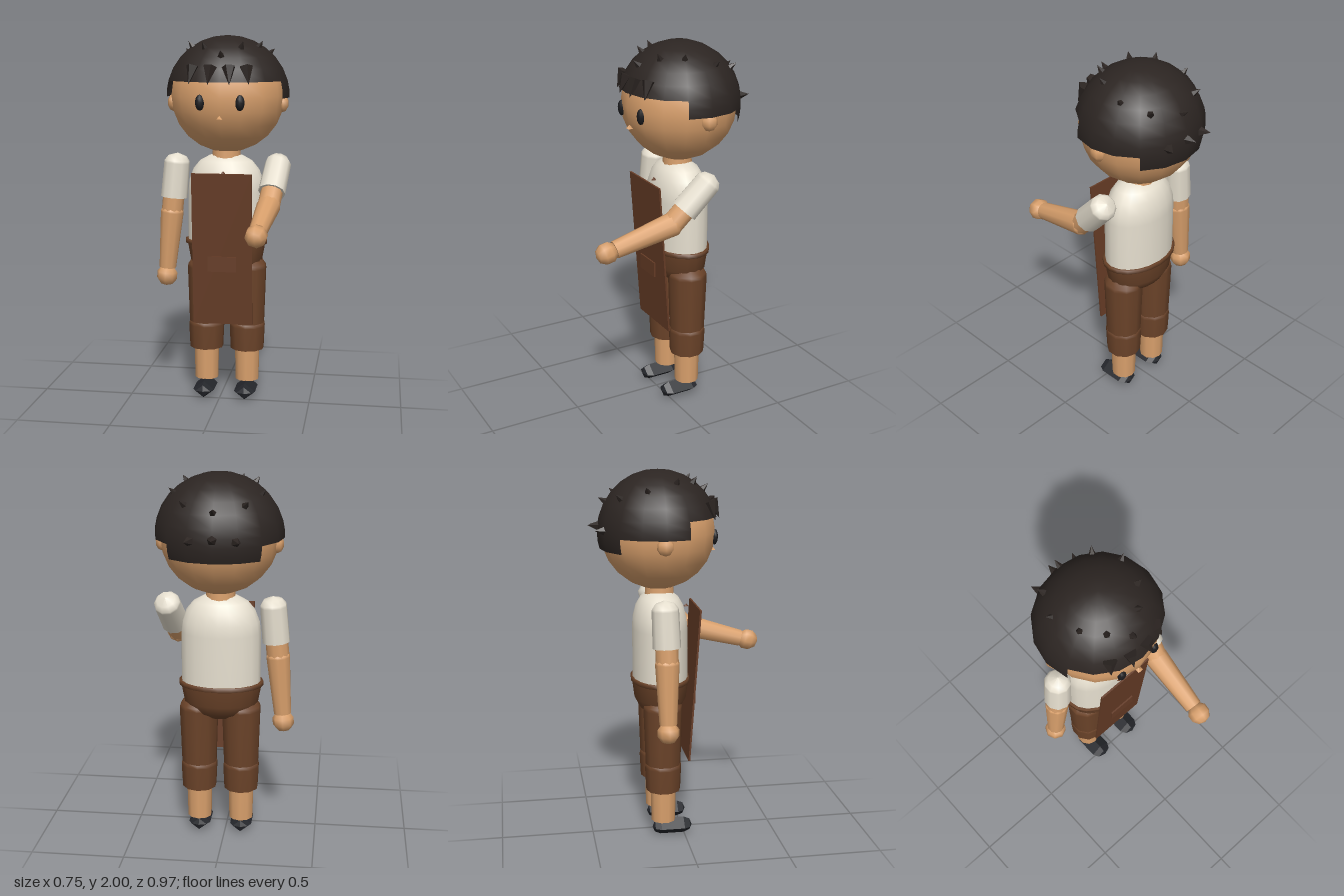
import * as THREE from 'three';

const mat = (color, extra = {}) => new THREE.MeshStandardMaterial({ color, ...extra });
const V = (x, y, z) => new THREE.Vector3(x, y, z);
const UP = V(0, 1, 0);

export function createModel() {
  const model = new THREE.Group();
  const skin = mat(0xd9a06c);
  const shirt = mat(0xe6dfcf, { side: THREE.DoubleSide });
  const cloth = mat(0x6b4329, { side: THREE.DoubleSide });
  const leather = mat(0x663c26);
  const hair = mat(0x2c2522, { side: THREE.DoubleSide });
  const spikeMat = mat(0x2c2522, { flatShading: true });
  const dark = mat(0x1c1c1f);
  const shoe = mat(0x25272c, { flatShading: true });

  const add = (name, geometry, material, pos = [0, 0, 0], parent = model) => {
    const m = new THREE.Mesh(geometry, material);
    m.name = name;
    m.position.set(...pos);
    parent.add(m);
    return m;
  };
  const ball = (name, material, pos, sx, sy, sz, w = 10, h = 7) => {
    const m = add(name, new THREE.SphereGeometry(1, w, h), material, pos);
    m.scale.set(sx, sy, sz);
    return m;
  };
  // Tapered limb from a to b, optionally rounded at each end
  const limb = (name, material, a, b, ra, rb, capA = true, capB = false) => {
    const dir = b.clone().sub(a), len = dir.length();
    const pts = [];
    const arc = [0, 0.5, 0.85];
    if (capA) arc.forEach(t => pts.push([ra * Math.sin(t * Math.PI / 2), -ra * 0.8 * Math.cos(t * Math.PI / 2)]));
    else pts.push([0, 0]);
    pts.push([ra, 0], [rb, len]);
    if (capB) [...arc].reverse().forEach(t => pts.push([rb * Math.sin(t * Math.PI / 2), len + rb * 0.8 * Math.cos(t * Math.PI / 2)]));
    else pts.push([rb, len], [0, len]);
    const g = new THREE.LatheGeometry(pts.map(p => new THREE.Vector2(...p)), 10);
    const m = add(name, g, material, a.toArray());
    m.quaternion.setFromUnitVectors(UP, dir.normalize());
    return m;
  };

  // Head, ears and face
  const C = V(0.027, 1.68, -0.12);
  ball('head', skin, C.toArray(), 0.31, 0.308, 0.305, 16, 12);
  for (const s of [-1, 1]) {
    ball('ear', skin, [C.x + s * 0.298, 1.637, -0.125], 0.035, 0.048, 0.046, 7, 5);
    ball('eye', dark, [C.x + s * 0.105, 1.655, 0.162], 0.025, 0.042, 0.02, 8, 6);
  }
  const nose = add('nose', new THREE.ConeGeometry(0.02, 0.02, 4), skin, [C.x, 1.58, 0.172]);
  nose.rotation.y = Math.PI / 4;
  add('neck', new THREE.CylinderGeometry(0.075, 0.08, 0.08, 12), skin, [0.022, 1.36, -0.115]);

  // Hair: short cap in front, longer shells round the sides and back
  const shells = [[0, 2 * Math.PI, 16, 0, 1.318, 6],
    [Math.PI * 0.875, Math.PI * 1.25, 10, 1.318, 0.285, 2],
    [Math.PI * 1.25, Math.PI / 2, 4, 1.603, 0.25, 1]];
  for (const [p0, pl, n, t0, tl, h] of shells) {
    const m = add('hair', new THREE.SphereGeometry(1, n, h, p0, pl, t0, tl), hair, C.toArray());
    m.scale.set(0.336, 0.32, 0.322);
  }
  const spike = (base, dir, r, h) => {
    const d = dir.clone().normalize();
    const m = add('hairSpike', new THREE.ConeGeometry(r, h, 5), spikeMat,
      base.clone().addScaledVector(d, h * 0.35).toArray());
    m.quaternion.setFromUnitVectors(UP, d);
  };
  // Upright spikes, as x and z offsets from the head centre
  const crown = [[-0.215, -0.08], [-0.175, 0.07], [-0.095, 0.165], [0.095, 0.165], [0.175, 0.07], [0.215, -0.08],
    [0.15, -0.21], [-0.15, -0.21], [0, 0.235], [0, -0.275]];
  for (const [x, z] of crown) {
    const d = V(x, Math.sqrt(0.1 - x * x - z * z), z);
    spike(d.clone().add(C), d, 0.023, 0.052);
  }
  for (const [x, y] of [[-0.115, 0.02], [0, 0.03], [0.115, 0.02]]) {
    const d = V(x, y, -Math.sqrt(0.1 - x * x));
    spike(d.clone().add(C), d, 0.03, 0.065);
  }
  // Fringe spikes pointing down and out
  for (const x of [-0.155, -0.055, 0.05, 0.14]) {
    const a = Math.asin(x / 0.3);
    const out = V(Math.sin(a), 0, Math.cos(a));
    spike(V(C.x, 1.825, C.z).addScaledVector(out, 0.288), out.clone().multiplyScalar(0.45).add(V(0, -1, 0)), 0.037, 0.1);
  }

  // Torso and hips share an oval section
  const oval = (name, material, pts) => {
    const m = add(name, new THREE.LatheGeometry(pts.map(p => new THREE.Vector2(...p)), 20), material, [0.021, 0, -0.115]);
    m.scale.z = 0.7;
  };
  oval('shirt', shirt, [[0.212, 0.86], [0.212, 1.16], [0.205, 1.22], [0.182, 1.28], [0.145, 1.325], [0.09, 1.355], [0, 1.365]]);
  oval('hips', cloth, [[0, 0.67], [0.09, 0.685], [0.16, 0.72], [0.2, 0.775], [0.218, 0.875]]);
  oval('waistband', cloth, [[0.212, 0.868], [0.227, 0.868], [0.227, 0.89], [0.212, 0.89]]);
  for (const y of [1.275, 1.16, 1.04])
    add('button', new THREE.ConeGeometry(0.014, 0.016, 4), leather, [0.025, y, 0.03]);

  // Apron, tilted forward at the top, with a pocket
  const apron = add('apron', new THREE.BoxGeometry(0.325, 0.838, 0.01), leather, [0.023, 0.857, 0.052]);
  apron.rotation.x = 0.072;
  add('apronPocket', new THREE.BoxGeometry(0.155, 0.083, 0.008), leather, [0.023, 0.781, 0.066]);

  // Legs and shoes
  for (const s of [-1, 1]) {
    const x = 0.026 + s * 0.115, z = -0.115;
    limb('trouserThigh', cloth, V(x, 0.73, z), V(x, 0.42, z), 0.106, 0.096, true, true);
    limb('trouserCuff', cloth, V(x, 0.4, z), V(x, 0.27, z), 0.1, 0.094);
    limb('calf', skin, V(x, 0.3, z), V(x, 0.09, z), 0.07, 0.066);
    const f = add('shoe', new THREE.CapsuleGeometry(0.046, 0.128, 2, 4), shoe, [x, 0.048, -0.066]);
    f.rotation.x = Math.PI / 2;
    f.scale.x = 1.28;
  }

  // Right arm hangs, left arm reaches forward
  const arms = [
    { shoulder: V(-0.256, 1.305, -0.125), cuff: V(-0.272, 1.115, -0.12), elbow: V(-0.284, 1.03, -0.12),
      wrist: V(-0.312, 0.715, -0.12), hand: V(-0.316, 0.67, -0.12) },
    { shoulder: V(0.303, 1.305, -0.13), cuff: V(0.283, 1.17, -0.005), elbow: V(0.274, 1.105, 0.06),
      wrist: V(0.253, 1.02, 0.38), hand: V(0.252, 1.01, 0.424) }];
  for (const a of arms) {
    limb('sleeve', shirt, a.shoulder, a.cuff, 0.071, 0.074);
    limb('upperArm', skin, a.shoulder, a.elbow, 0.06, 0.06, true, true);
    limb('forearm', skin, a.elbow, a.wrist, 0.064, 0.047);
    const h = ball('hand', skin, a.hand.toArray(), 0.06, 0.06, 0.06, 8, 5);
    h.quaternion.setFromUnitVectors(UP, a.wrist.clone().sub(a.elbow).normalize());
  }
  return model;
}
